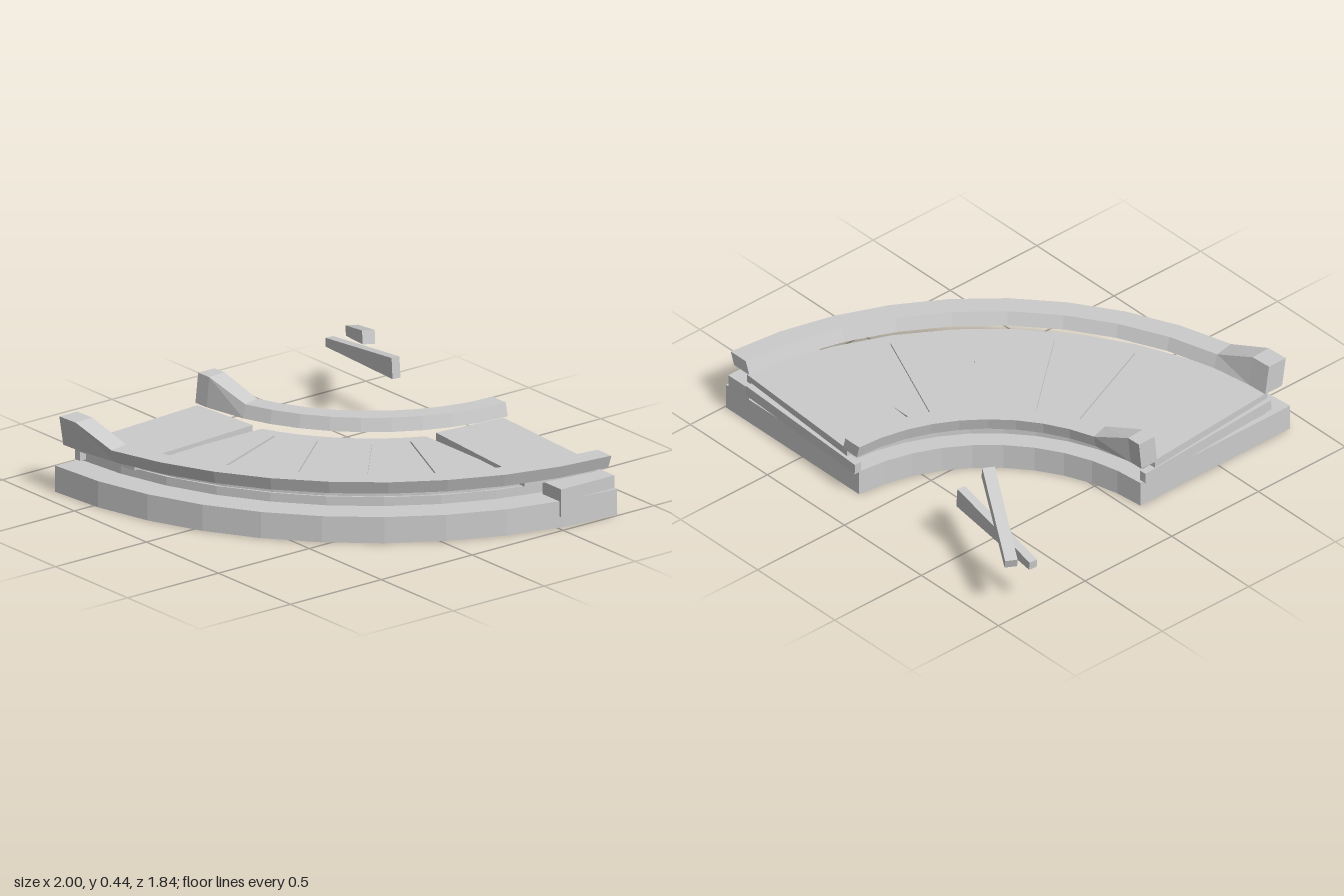
import * as THREE from 'three';

const CX = -0.76, CZ = -0.84; // centre of the bend
const mat = new THREE.MeshStandardMaterial({ color: 0xcccccc, flatShading: true });

function add(group, name, geometry) {
  const mesh = new THREE.Mesh(geometry, mat);
  mesh.name = name;
  group.add(mesh);
  return mesh;
}

// Sweep a four-cornered section round the quarter bend.
// section(t) gives [radius, y]: inner low, outer low, outer high, inner high.
// d0 and d1 set each straight end back from the axes through the centre.
function bend(section, d0, d1, ts) {
  const pos = [], idx = [];
  for (const t of ts) {
    for (const [r, y] of section(t)) {
      const a = THREE.MathUtils.lerp(Math.asin(d0 / r), Math.PI / 2 - Math.asin(d1 / r), t);
      pos.push(CX + r * Math.cos(a), y, CZ + r * Math.sin(a));
    }
  }
  for (let i = 0; i < ts.length - 1; i++) {
    for (let k = 0; k < 4; k++) {
      const a = i * 4 + k, b = i * 4 + (k + 1) % 4;
      idx.push(a, b, b + 4, a, b + 4, a + 4);
    }
  }
  const e = (ts.length - 1) * 4;
  idx.push(0, 2, 1, 0, 3, 2, e, e + 1, e + 2, e, e + 2, e + 3);
  const g = new THREE.BufferGeometry();
  g.setAttribute('position', new THREE.Float32BufferAttribute(pos, 3));
  g.setIndex(idx);
  g.computeVertexNormals();
  return g;
}

const steps = (n, end = 1) => Array.from({ length: n + 1 }, (_, i) => (i / n) * end);
const block = (r0, r1, y0, y1) => () => [[r0, y0], [r1, y0], [r1, y1], [r0, y1]];

// Upright prism over a plan outline of [x, z] points
function prism(points, y0, y1) {
  const shape = new THREE.Shape(points.map(([x, z]) => new THREE.Vector2(x, z)));
  const g = new THREE.ExtrudeGeometry(shape, { depth: y1 - y0, bevelEnabled: false });
  return g.rotateX(Math.PI / 2).translate(0, y1, 0);
}

// Beam between two points; the far end can be thicker
function beam(from, to, width, h0, h1) {
  const a = new THREE.Vector3(...from), b = new THREE.Vector3(...to);
  const len = a.distanceTo(b);
  const g = new THREE.BoxGeometry(width, 1, len);
  const p = g.attributes.position;
  for (let i = 0; i < p.count; i++) p.setY(i, p.getY(i) * (p.getZ(i) > 0 ? h1 : h0));
  const m = new THREE.Object3D();
  m.position.copy(a).lerp(b, 0.5);
  m.lookAt(b);
  m.updateMatrix();
  return g.applyMatrix4(m.matrix);
}

// Leaning rail whose last end rises to a raised block
function rail(r0, r1, lean, d0, d1, rise, flat) {
  const section = (t) => {
    const k = THREE.MathUtils.clamp((t - rise) / (flat - rise), 0, 1);
    const top = 0.28 + 0.075 * k;
    return [[r0 + lean, 0.22], [r1 + lean, 0.22], [r1, top], [r0, top]];
  };
  return bend(section, d0, d1, [...steps(9, rise), flat, 1]);
}

export function createModel() {
  const model = new THREE.Group();
  model.name = 'curvedTrack';

  // Base slab and deck
  add(model, 'base', bend(block(0.89, 1.755, 0, 0.12), 0.04, 0.02, steps(10)));
  add(model, 'lowerDeck', bend(block(0.97, 1.63, 0.125, 0.166), 0.05, 0.04, steps(10)));
  add(model, 'upperDeck', bend(block(0.97, 1.62, 0.166, 0.195), 0.4, 0.37, steps(8)));

  // Flat panels at both ends
  add(model, 'backPanel', prism([[0.19, -0.815], [0.89, -0.77], [0.845, -0.41], [0.155, -0.47]], 0.176, 0.214));
  add(model, 'sidePanel', prism([[-0.755, 0.12], [-0.7, 0.82], [-0.36, 0.78], [-0.41, 0.09]], 0.176, 0.214));

  // Cross slats set through the deck
  const slats = [
    [0.15, -0.35, 0.66, -0.13],
    [0.05, -0.185, 0.46, 0.175],
    [-0.12, -0.02, 0.23, 0.4],
    [-0.285, 0.085, -0.075, 0.595],
  ];
  for (const [x0, z0, x1, z1] of slats) {
    add(model, 'slat', beam([x0, 0.16, z0], [x1, 0.16, z1], 0.027, 0.088, 0.088));
  }

  // Rails along both edges
  add(model, 'outerRail', rail(1.66, 1.757, -0.022, 0.07, 0.05, 0.88, 0.96));
  add(model, 'innerRail', rail(0.855, 0.945, 0.015, 0.01, -0.01, 0.81, 0.95));

  // Skewed beams under the panel ends, and the corner block
  add(model, 'endBeam', beam([-0.745, 0.15, 0.06], [-0.705, 0.16, 0.82], 0.035, 0.05, 0.05));
  add(model, 'endBeam', beam([0.12, 0.15, -0.815], [0.86, 0.16, -0.785], 0.035, 0.05, 0.05));
  add(model, 'cornerBlock', prism([[0.845, -0.8], [0.978, -0.8], [0.975, -0.51], [0.845, -0.51]], 0.05, 0.178));

  // Two crossed loose beams
  const loose = new THREE.Group();
  loose.name = 'looseBeams';
  add(loose, 'lowerBeam', beam([-1, 0.228, -0.8], [-0.46, 0.275, -0.738], 0.04, 0.04, 0.095));
  add(loose, 'upperBeam', beam([-0.97, 0.265, -0.9], [-0.545, 0.41, -0.655], 0.055, 0.045, 0.06));
  model.add(loose);

  return model;
}
